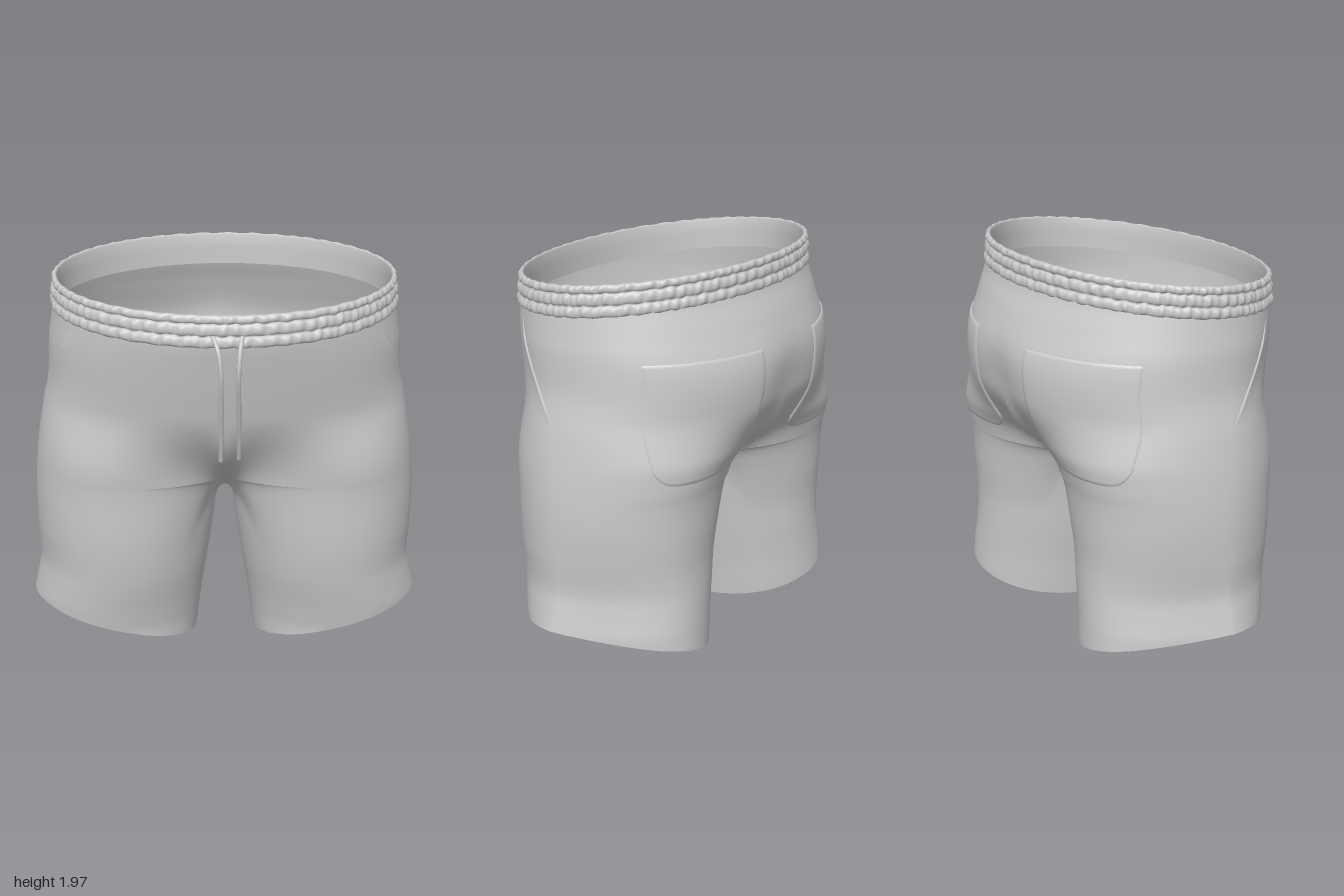
import * as THREE from 'three';
import { mergeGeometries, mergeVertices } from 'three/addons/utils/BufferGeometryUtils.js';

const { lerp, clamp, smoothstep } = THREE.MathUtils;
const PI = Math.PI;

// Smooth curve through [y, value] pairs, y rising
function profile(pts) {
  const n = pts.length;
  const slope = i => {
    const a = pts[Math.max(i - 1, 0)], b = pts[Math.min(i + 1, n - 1)];
    return (b[1] - a[1]) / (b[0] - a[0]);
  };
  return y => {
    if (y <= pts[0][0]) return pts[0][1];
    if (y >= pts[n - 1][0]) return pts[n - 1][1];
    let i = 0;
    while (pts[i + 1][0] < y) i++;
    const h = pts[i + 1][0] - pts[i][0], t = (y - pts[i][0]) / h, t2 = t * t, t3 = t2 * t;
    return (2 * t3 - 3 * t2 + 1) * pts[i][1] + (t3 - 2 * t2 + t) * h * slope(i)
      + (3 * t2 - 2 * t3) * pts[i + 1][1] + (t3 - t2) * h * slope(i + 1);
  };
}

// Outline by height: outer side, inner leg, front and back
const outerX = profile([[0.22, 1.0], [0.32, 0.978], [0.42, 0.96], [0.6, 0.968], [0.8, 0.97], [1.0, 0.957], [1.2, 0.928],
  [1.4, 0.888], [1.6, 0.877], [1.7, 0.862], [1.84, 0.84]]);
const innerX = profile([[0, 0.15], [0.2, 0.124], [0.4, 0.092], [0.6, 0.062], [0.75, 0.042], [0.82, 0.034]]);
const frontZ = profile([[0.1, 0.34], [0.2, 0.36], [0.4, 0.4], [0.6, 0.425], [0.9, 0.44], [1.0, 0.46], [1.2, 0.523],
  [1.4, 0.575], [1.6, 0.62], [1.7, 0.638], [1.78, 0.64]]);
const backZ = profile([[0.1, 0.56], [0.5, 0.54], [0.7, 0.55], [0.9, 0.565], [1.0, 0.595], [1.1, 0.65], [1.3, 0.718],
  [1.5, 0.73], [1.7, 0.668], [1.82, 0.62], [1.9, 0.605]]);

const CROTCH = 0.92;          // height where torso splits into legs
const A = 0.96;               // angle at which the leg loop meets the centre seam
const bandY = z => 1.838 - 0.102 * z;

function depth(angle, y, power) {
  const c = Math.cos(angle);
  return Math.pow(Math.abs(c), power) * (c > 0 ? frontZ(y) : -backZ(y));
}

// Leg loop point; open = 0 lies against the centre seam, 1 is a free tube.
// The outer side sharpens towards the hem, most of all at the back.
function leg(angle, y, open) {
  const s = Math.sin(angle), xo = outerX(y), xi = innerX(y);
  const c0 = (xo + xi) / 2;
  const x = s > 0 ? c0 + (xo - c0) * s
    : lerp(Math.max(0, c0 + c0 / Math.sin(A) * s), c0 + (c0 - xi) * s, open);
  const sharp = lerp(Math.cos(angle) > 0 ? 1.15 : 1.7, 1.1, smoothstep(y, 0.1, 0.9));
  return new THREE.Vector3(x, y, depth(angle, y, lerp(0.94, sharp, Math.max(0, s))));
}

// Torso point, u from 0 (front centre) round the side to 1 (back centre)
function torso(u, y) {
  const t = clamp((1.32 - y) / (1.32 - CROTCH), 0, 1);
  const w = lerp(smoothstep(t, 0, 1), Math.pow(t, 3.6), Math.pow(Math.abs(2 * u - 1), 8));
  const a = u * PI;
  const p = new THREE.Vector3(outerX(y) * Math.sin(a), y, depth(a, y, lerp(0.95, 1, smoothstep(y, 1.4, 1.75))));
  p.lerp(leg(lerp(-A, PI + A, u), y, 0), w);
  if (u === 0 || u === 1) p.x = 0;
  if (u > 0.5) p.z += 0.035 * Math.exp(-((p.x / 0.18) ** 2) - ((y - 1.33) / 0.22) ** 2);
  return p;
}

// Point lifted off the torso along its normal
function lifted(u, y, d) {
  const p = torso(u, y), e = 0.004;
  const down = torso(u, y - e).sub(torso(u, y + e));
  const along = torso(u + e, y).sub(torso(u - e, y));
  return p.addScaledVector(down.cross(along).normalize(), d);
}

// Surface from rows (downward) and columns (front to back)
function grid(rows, cols, fn) {
  const pos = [], idx = [], n = cols + 1;
  for (let i = 0; i <= rows; i++)
    for (let j = 0; j <= cols; j++) pos.push(...fn(i, j).toArray());
  for (let i = 0; i < rows; i++)
    for (let j = 0; j < cols; j++) {
      const a = i * n + j, b = a + n;
      idx.push(a, b, a + 1, a + 1, b, b + 1);
    }
  const g = new THREE.BufferGeometry();
  g.setAttribute('position', new THREE.Float32BufferAttribute(pos, 3));
  g.setIndex(idx);
  return g;
}

function mirrored(g) {
  const m = g.clone().scale(-1, 1, 1), ix = m.index.array;
  for (let i = 0; i < ix.length; i += 3) [ix[i + 1], ix[i + 2]] = [ix[i + 2], ix[i + 1]];
  return m;
}

function smooth(...parts) {
  const g = mergeVertices(mergeGeometries(parts), 1e-4);
  g.computeVertexNormals();
  return g;
}

export function createModel() {
  const group = new THREE.Group();
  const material = new THREE.MeshStandardMaterial({ color: 0xcccccc, side: THREE.DoubleSide });
  const add = (name, geometry) => {
    const mesh = new THREE.Mesh(geometry, material);
    mesh.name = name;
    group.add(mesh);
  };

  // Shorts body: half torso and one leg, mirrored and welded
  const N = 80, M = 24, T = 48, L = 56;
  const torsoHalf = grid(T, N, (i, j) => {
    const u = j / N;
    return torso(u, lerp(bandY(0.63 * Math.cos(u * PI)), CROTCH, i / T));
  });
  const legHalf = grid(L, N + M, (i, j) => {
    const t = Math.pow(i / L, 2), v = (j - N) / M;
    const angle = j <= N ? lerp(-A, PI + A, j / N) : lerp(PI + A, 2 * PI - A, v);
    const top = CROTCH - (v > 0 ? 0.115 * Math.sin(PI * v) : 0);
    const hem = 0.006 + 0.219 * Math.pow((1 + Math.sin(angle)) / 2, 1.06);
    // The gap opens in a tight arch under the crotch, slowly towards front and back
    const reach = lerp(0.5, 0.09, smoothstep(-Math.sin(angle), Math.sin(A) - 0.15, 1));
    const k = 1 - Math.min(1, t / reach);
    return leg(angle, lerp(top, hem, t), Math.sqrt(1 - k * k));
  });
  add('shortsBody', smooth(torsoHalf, legHalf, mirrored(torsoHalf), mirrored(legHalf)));

  // Elastic waistband: three gathered ribs outside, plain lining inside
  const V = 27, U = 480, ribEdges = [0, 0.27, 0.65, 1];
  add('waistband', smooth(grid(V + 3, U, (i, j) => {
    const a = (j % U) / U * 2 * PI;
    let h, r;
    if (i < 3) {
      h = [-0.085, 0, 0.066][i];
      r = -0.02;
    } else {
      const k = (i - 3) / V * 3, rib = Math.min(2, Math.floor(k));
      const v = lerp(ribEdges[rib], ribEdges[rib + 1], k - rib);
      const swell = Math.sqrt(Math.abs(Math.sin(PI * k)));
      const gather = Math.sin(94 * a + rib * 2.1 + 2.2 * Math.sin(7 * a + rib)) + 0.7 * Math.sin(61 * a + rib * 4 + Math.sin(13 * a));
      h = 0.076 - 0.152 * v + 0.002 * Math.sin(47 * a + 2 * Math.sin(5 * a));
      r = -0.009 + 0.014 * v + swell * (0.013 + 0.0045 * gather);
    }
    const c = Math.cos(a), z = c * ((c > 0 ? 0.643 : 0.608) + r);
    return new THREE.Vector3((0.845 + r) * Math.sin(a), bandY(z) + h, z);
  })));

  // Back patch pockets with rounded lower corners
  const P = 36;
  const pocket = grid(P, P, (i, j) => {
    const edge = i === 0 || j === 0 || i === P || j === P;
    const at = k => clamp((k - 1) / (P - 2), 0, 1);
    const p = at(j) * 2 - 1, q = at(i);
    const y = 1.575 - 0.57 * q * (1 - 0.15 * Math.pow(Math.abs(p), 8));
    return lifted(lerp(0.67, 0.915, at(j)) + 0.008 * q * (1 - at(j)), y, edge ? 0.001 : 0.009);
  });
  add('leftBackPocket', smooth(pocket));
  add('rightBackPocket', smooth(mirrored(pocket)));

  // Slanted side pocket openings: a flap raised along the seam, fading forward
  const flap = grid(24, 10, (i, j) => {
    const t = i / 24, f = Math.min(j, 9) / 9;
    const d = j === 10 ? 0.001 : 0.001 + 0.008 * f * f * Math.min(1, t * 4, 0.15 + (1 - t) * 5);
    return lifted(lerp(0.333, 0.485, Math.pow(t, 1.15)) - 0.055 * (1 - f), lerp(1.7, 1.265, t) - 0.03 * (1 - f) * t, d);
  });
  add('leftSidePocket', smooth(flap));
  add('rightSidePocket', smooth(mirrored(flap)));

  // Drawstring ends hanging from the waistband
  const cords = {
    leftDrawstring: [[0.065, 1.75, 0.65], [0.055, 1.7, 0.695], [0.048, 1.6, 0.715], [0.05, 1.42, 0.665], [0.055, 1.25, 0.605], [0.055, 1.125, 0.56]],
    rightDrawstring: [[-0.07, 1.75, 0.65], [-0.048, 1.7, 0.7], [-0.035, 1.6, 0.72], [-0.034, 1.42, 0.68], [-0.032, 1.25, 0.63], [-0.032, 1.125, 0.592]],
  };
  for (const [name, pts] of Object.entries(cords)) {
    const path = new THREE.CatmullRomCurve3(pts.map(p => new THREE.Vector3(...p)));
    const tip = new THREE.SphereGeometry(0.011, 10, 8).translate(...pts[pts.length - 1]);
    add(name, mergeGeometries([new THREE.TubeGeometry(path, 40, 0.011, 10), tip]));
  }
  return group;
}
